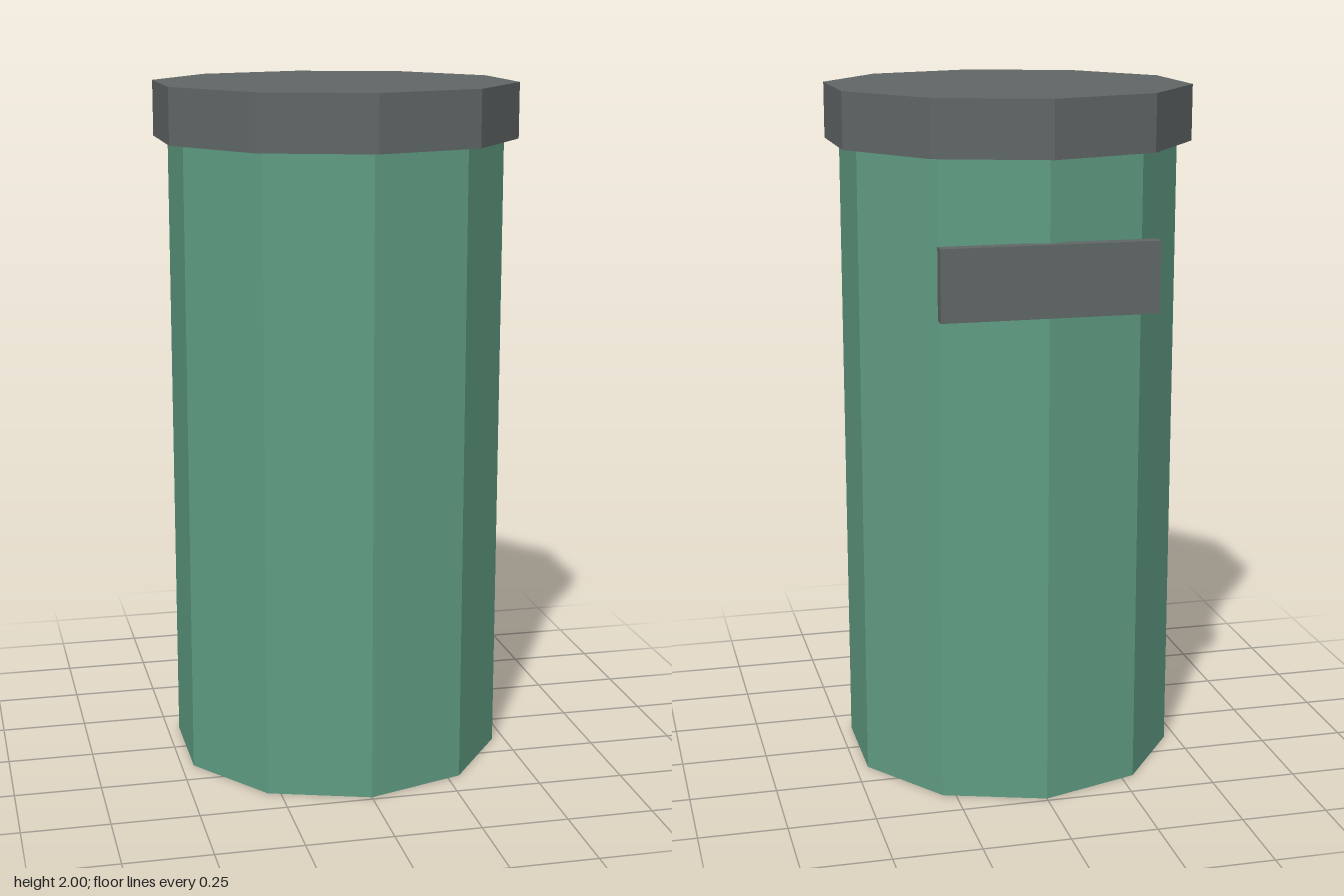
import * as THREE from 'three';

export function createModel() {
  const group = new THREE.Group();
  const green = new THREE.MeshStandardMaterial({ name: 'green', color: 0x5f9c82, flatShading: true });
  const grey = new THREE.MeshStandardMaterial({ name: 'dark grey', color: 0x606666, flatShading: true });

  const add = (name, geometry, material, x, y, z) => {
    const mesh = new THREE.Mesh(geometry, material);
    mesh.name = name;
    mesh.position.set(x, y, z);
    group.add(mesh);
  };

  // Ten-sided bin with a corner facing the front
  const sides = 10, bodyHeight = 1.84, lidHeight = 0.16;
  add('body', new THREE.CylinderGeometry(0.488, 0.488, bodyHeight, sides), green, 0, bodyHeight / 2, 0);
  // Overhanging lid
  add('lid', new THREE.CylinderGeometry(0.53, 0.53, lidHeight, sides), grey, 0, bodyHeight + lidHeight / 2, 0);
  // Flat bar across the back
  add('handle', new THREE.BoxGeometry(0.61, 0.2, 0.04), grey, 0, 1.513, -0.492);

  return group;
}
